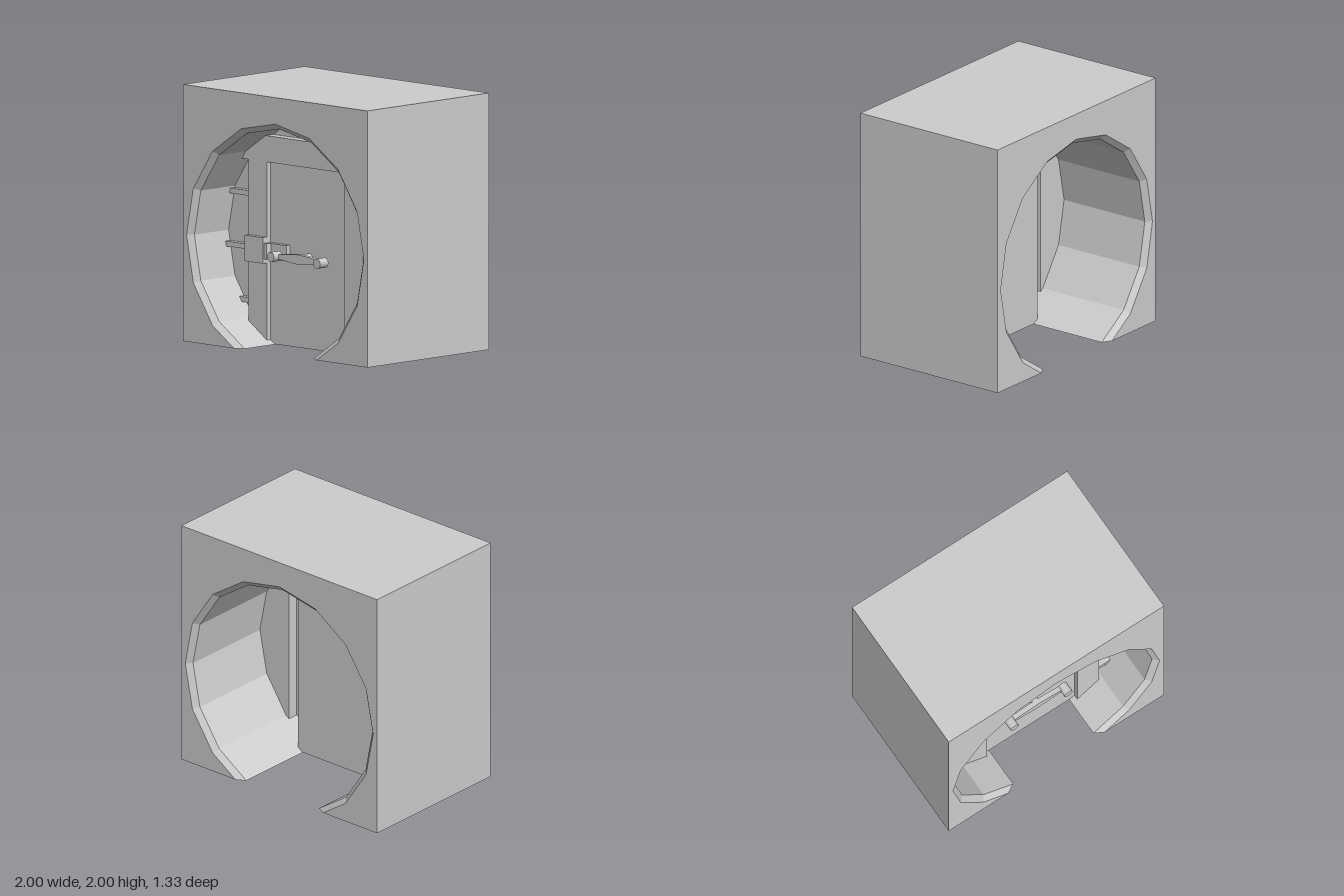
import * as THREE from 'three';

const CY = 0.833;           // height of the tunnel axis
const HZ = 0.667;           // half depth of the block
const BEVEL = 0.0417;

export function createModel() {
  const root = new THREE.Group();
  root.name = 'roundVaultDoorway';
  const grey = new THREE.MeshStandardMaterial({ color: 0xcccccc });
  grey.name = 'plainGrey';

  function add(name, geometry, parent = root) {
    const mesh = new THREE.Mesh(geometry, grey);
    mesh.name = name;
    parent.add(mesh);
    return mesh;
  }
  // box given by its min and max on each axis
  function box(name, [x0, x1], [y0, y1], [z0, z1], parent = root) {
    const mesh = add(name, new THREE.BoxGeometry(x1 - x0, y1 - y0, z1 - z0), parent);
    mesh.position.set((x0 + x1) / 2, (y0 + y1) / 2, (z0 + z1) / 2);
    return mesh;
  }
  // cylinder lying along z
  function peg(name, x, y, z0, z1, r, parent) {
    const mesh = add(name, new THREE.CylinderGeometry(r, r, z1 - z0, 12).rotateX(Math.PI / 2), parent);
    mesh.position.set(x, y, (z0 + z1) / 2);
  }

  // block outline with a 16-sided tunnel of radius r cut off at the floor
  function outline(r) {
    const corner = (i) => {
      const a = (i * Math.PI) / 8;   // measured from the top, towards +x
      return new THREE.Vector2(r * Math.sin(a), CY + r * Math.cos(a));
    };
    const a = corner(6), b = corner(7);
    const floorX = a.x + ((b.x - a.x) * a.y) / (a.y - b.y);
    const pts = [new THREE.Vector2(floorX, 0), new THREE.Vector2(1, 0), new THREE.Vector2(1, 2),
      new THREE.Vector2(-1, 2), new THREE.Vector2(-1, 0), new THREE.Vector2(-floorX, 0)];
    for (let i = -6; i <= 6; i++) pts.push(corner(i));
    return pts;
  }

  // block: lofted walls with bevelled tunnel mouths, closed by two flat faces
  const block = new THREE.Group();
  block.name = 'block';
  root.add(block);
  const R = 0.917, RB = 0.96;
  const stations = [[-HZ, RB], [-HZ + BEVEL, R], [HZ - BEVEL, R], [HZ, RB]];
  const verts = [];
  for (let s = 0; s < stations.length - 1; s++) {
    const [z0, r0] = stations[s], [z1, r1] = stations[s + 1];
    const p = outline(r0), q = outline(r1);
    for (let i = 0; i < p.length; i++) {
      const j = (i + 1) % p.length;
      const a = [p[i].x, p[i].y, z0], b = [p[j].x, p[j].y, z0];
      const c = [q[j].x, q[j].y, z1], d = [q[i].x, q[i].y, z1];
      verts.push(...a, ...b, ...c, ...a, ...c, ...d);
    }
  }
  const walls = new THREE.BufferGeometry();
  walls.setAttribute('position', new THREE.Float32BufferAttribute(verts, 3));
  walls.computeVertexNormals();
  add('blockWalls', walls, block);
  const face = new THREE.ShapeGeometry(new THREE.Shape(outline(RB)));
  add('frontFace', face, block).position.z = HZ;
  const back = add('backFace', face, block);
  back.position.z = -HZ;
  back.rotation.y = Math.PI;

  // partition inside the tunnel, with its ends sunk into the block
  const wallZ = [0.16, 0.25], frameZ = [0.25, 0.333];
  box('upperWall', [-0.6, 0.6], [1.625, 1.82], wallZ);
  box('lintel', [-0.8, 0.8], [1.42, 1.625], frameZ);
  for (const side of [-1, 1]) {
    const span = (a, b) => (side > 0 ? [a, b] : [-b, -a]);
    box('sideWall', span(0.62, 0.95), [0.06, 1.42], wallZ);
    box('jamb', span(0.42, 0.62), [0.01, 1.42], frameZ);
    for (const y of [0.317, 0.732, 1.15]) {
      box('lockingBar', span(0.62, 0.95), [y - 0.02, y + 0.02], [0.24, 0.3]);
    }
  }

  // thick door slab
  box('door', [-0.42, 0.42], [0.002, 1.42], [0.035, 0.292]);

  // latch: housing on the jamb and a stepped bolt on the door
  box('latchHousing', [-0.62, -0.42], [0.633, 0.835], [0.32, 0.378]);
  const bolt = new THREE.Shape([[-0.42, 0.28], [-0.21, 0.28], [-0.21, 0.333], [-0.375, 0.333],
    [-0.39, 0.366], [-0.42, 0.366]].map(([x, z]) => new THREE.Vector2(x, -z)));
  const boltGeo = new THREE.ExtrudeGeometry(bolt, { depth: 0.123, bevelEnabled: false });
  add('latchBolt', boltGeo.rotateX(-Math.PI / 2)).position.y = 0.667;

  // lever handle with a grip at each end
  const handle = new THREE.Group();
  handle.name = 'handle';
  handle.position.y = 0.71;
  root.add(handle);
  const half = [[-0.25, 0.015], [-0.2, 0.019], [-0.1, 0.031], [0, 0.039], [0.1, 0.031], [0.2, 0.019], [0.25, 0.015]];
  const lever = new THREE.Shape([...half.map(([x, y]) => new THREE.Vector2(x, -y)),
    ...half.slice().reverse().map(([x, y]) => new THREE.Vector2(x, y))]);
  add('lever', new THREE.ExtrudeGeometry(lever, { depth: 0.04, bevelEnabled: false }), handle).position.z = 0.375;
  peg('handleSpindle', 0, 0, 0.28, 0.38, 0.036, handle);
  for (const x of [-0.25, 0.25]) peg('handleGrip', x, 0, 0.375, 0.465, 0.039, handle);

  return root;
}
